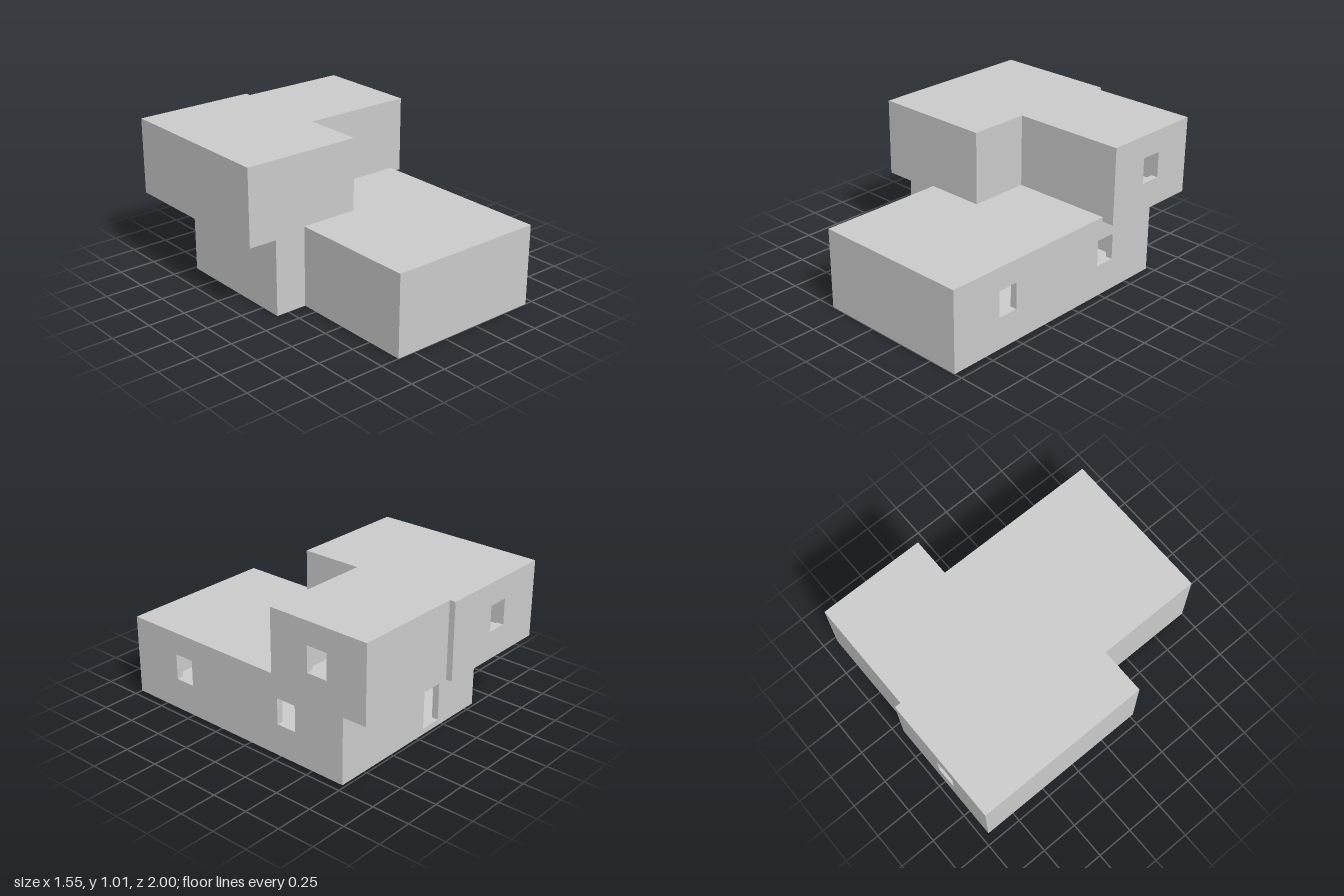
import * as THREE from 'three';

const WALL = 0.045; // wall thickness
const SLAB = 0.03; // floor and roof thickness

// Footprints as [x, z], counter-clockwise seen from above, so walls face outward.
const LOWER = [[-0.37, 1], [0.695, 1], [0.695, -0.73], [-0.585, -0.73], [-0.585, 0.145], [-0.37, 0.145]];
const UPPER = [[-0.775, 0.145], [0.02, 0.145], [0.02, -0.26], [0.775, -0.26],
  [0.775, -0.96], [0.045, -0.96], [0.045, -1], [-0.775, -1]];

// Openings: wall index, start and end along that wall, bottom and top heights.
const LOWER_OPENINGS = [
  { wall: 1, u0: 0.36, u1: 0.5, y0: 0.21, y1: 0.385 },
  { wall: 1, u0: 1.225, u1: 1.365, y0: 0.21, y1: 0.385 },
  { wall: 2, u0: 0.76, u1: 0.91, y0: 0.04, y1: 0.385 }, // doorway
];
const UPPER_OPENINGS = [
  { wall: 3, u0: 0.275, u1: 0.42, y0: 0.69, y1: 0.86 },
  { wall: 6, u0: 0.37, u1: 0.51, y0: 0.69, y1: 0.86 },
];

const rectangle = (target, x0, y0, x1, y1) =>
  target.moveTo(x0, y0).lineTo(x1, y0).lineTo(x1, y1).lineTo(x0, y1).closePath();

export function createModel() {
  const model = new THREE.Group();
  model.name = 'house';
  const material = new THREE.MeshStandardMaterial({ color: 0xcccccc, flatShading: true });

  function addMesh(parent, name, geometry) {
    const mesh = new THREE.Mesh(geometry, material);
    mesh.name = name;
    parent.add(mesh);
    return mesh;
  }

  // Horizontal plate over a whole footprint
  function addSlab(parent, name, footprint, y) {
    const shape = new THREE.Shape(footprint.map(([x, z]) => new THREE.Vector2(x, -z)));
    const geometry = new THREE.ExtrudeGeometry(shape, { depth: SLAB, bevelEnabled: false });
    geometry.rotateX(-Math.PI / 2);
    addMesh(parent, name, geometry).position.y = y;
  }

  // Walls butt at outer corners and run on by one thickness at inner corners
  function addWalls(parent, footprint, y0, y1, openings) {
    const n = footprint.length;
    const point = (i) => footprint[(i + n) % n];
    const isOuter = (i) => {
      const [a, b, c] = [point(i - 1), point(i), point(i + 1)];
      return (b[0] - a[0]) * (c[1] - b[1]) - (b[1] - a[1]) * (c[0] - b[0]) < 0;
    };
    for (let i = 0; i < n; i++) {
      const [ax, az] = point(i);
      const [bx, bz] = point(i + 1);
      const start = isOuter(i) ? WALL : 0;
      const end = Math.hypot(bx - ax, bz - az) + (isOuter(i + 1) ? 0 : WALL);
      const shape = rectangle(new THREE.Shape(), start, y0, end, y1);
      for (const o of openings.filter((opening) => opening.wall === i)) {
        shape.holes.push(rectangle(new THREE.Path(), o.u0, o.y0, o.u1, o.y1));
      }
      const geometry = new THREE.ExtrudeGeometry(shape, { depth: WALL, bevelEnabled: false });
      geometry.translate(0, 0, -WALL);
      const wall = addMesh(parent, 'wall' + (i + 1), geometry);
      wall.position.set(ax, 0, az);
      wall.rotation.y = Math.atan2(az - bz, bx - ax);
    }
  }

  // Hollow storey: floor, pierced walls, roof
  function addStorey(name, footprint, bottom, top, openings) {
    const storey = new THREE.Group();
    storey.name = name;
    addSlab(storey, 'floor', footprint, bottom);
    addWalls(storey, footprint, bottom + SLAB, top - SLAB, openings);
    addSlab(storey, 'roof', footprint, top - SLAB);
    model.add(storey);
  }

  addStorey('lowerStorey', LOWER, 0, 0.535, LOWER_OPENINGS);
  addStorey('upperStorey', UPPER, 0.505, 1.01, UPPER_OPENINGS);
  return model;
}
